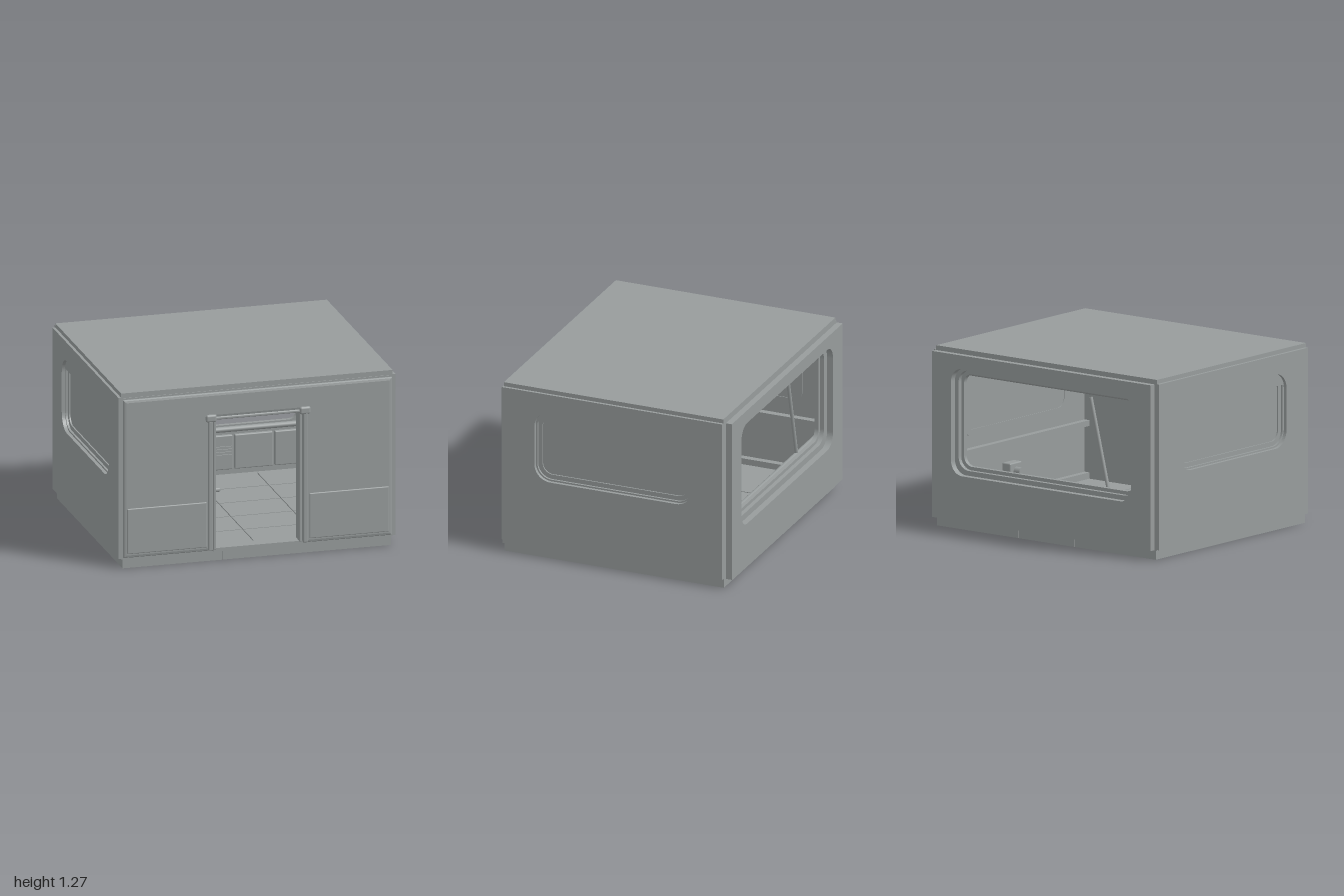
import * as THREE from 'three';
import { RoundedBoxGeometry } from 'three/addons/geometries/RoundedBoxGeometry.js';

const gray = new THREE.MeshStandardMaterial({ color: 0x979c9c });
gray.name = 'plain gray';

// Rounded rectangle between two corners, as a shape or a hole
function roundRect(u0, u1, v0, v1, r, P = THREE.Shape) {
  const s = new P(), q = Math.PI / 2;
  s.absarc(u1 - r, v0 + r, r, -q, 0);
  s.absarc(u1 - r, v1 - r, r, 0, q);
  s.absarc(u0 + r, v1 - r, r, q, 2 * q);
  s.absarc(u0 + r, v0 + r, r, 2 * q, 3 * q);
  s.closePath();
  return s;
}

function rect(u0, u1, v0, v1) {
  return new THREE.Shape([[u0, v0], [u1, v0], [u1, v1], [u0, v1]].map(p => new THREE.Vector2(...p)));
}

// Wall outline with a doorway cut up from its lower edge
function doorWall(w, y0, y1, door, top) {
  return new THREE.Shape([[-w, y0], [-door, y0], [-door, top], [door, top], [door, y0], [w, y0], [w, y1], [-w, y1]]
    .map(p => new THREE.Vector2(...p)));
}

export function createModel() {
  const model = new THREE.Group();
  const add = (name, geometry, parent = model) => {
    const m = new THREE.Mesh(geometry, gray);
    m.name = name;
    parent.add(m);
    return m;
  };
  const box = (name, x0, x1, y0, y1, z0, z1, parent = model) => {
    const m = add(name, new THREE.BoxGeometry(x1 - x0, y1 - y0, z1 - z0), parent);
    m.position.set((x0 + x1) / 2, (y0 + y1) / 2, (z0 + z1) / 2);
    return m;
  };
  const rounded = (name, x0, x1, y0, y1, z0, z1, r) => {
    const m = add(name, new RoundedBoxGeometry(x1 - x0, y1 - y0, z1 - z0, 2, r));
    m.position.set((x0 + x1) / 2, (y0 + y1) / 2, (z0 + z1) / 2);
    return m;
  };
  const rod = (name, a, b, r) => {
    const path = new THREE.LineCurve3(new THREE.Vector3(...a), new THREE.Vector3(...b));
    const d = path.getLength();
    const m = add(name, new THREE.CylinderGeometry(r, r, d, 12));
    m.position.copy(path.getPoint(0.5));
    m.quaternion.setFromUnitVectors(new THREE.Vector3(0, 1, 0), path.getTangent(0));
    return m;
  };
  // Flat extrusion facing z, from z0 to z1
  const slab = (name, shape, holes, z0, z1) => {
    shape.holes.push(...holes);
    const m = add(name, new THREE.ExtrudeGeometry(shape, { depth: z1 - z0, bevelEnabled: false, curveSegments: 8 }));
    m.position.z = z0;
    return m;
  };
  // Same, turned to face x; shape runs along -z
  const sideSlab = (name, shape, holes, x0, x1) => {
    const m = slab(name, shape, holes, 0, x1 - x0);
    m.rotation.y = Math.PI / 2;
    m.position.set(x0, 0, 0);
    return m;
  };
  // Same, lying flat; shape runs along -z
  const flatSlab = (name, shape, holes, y0, y1) => {
    const m = slab(name, shape, holes, 0, y1 - y0);
    m.rotation.x = -Math.PI / 2;
    m.position.set(0, y0, 0);
    return m;
  };

  // Floor base in three sections with a hatch in the middle one
  flatSlab('floorBaseMiddle', rect(-0.249, 0.249, -0.84, 0.82),
    [roundRect(-0.2, 0.2, -0.23, 0.23, 0.01, THREE.Path)], 0, 0.07);
  flatSlab('floorHatch', roundRect(-0.18, 0.18, -0.21, 0.21, 0.04), [], 0.004, 0.03);
  for (const s of [-1, 1]) {
    box('floorBaseSide', Math.min(s * 0.251, s * 0.97), Math.max(s * 0.251, s * 0.97), 0, 0.07, -0.82, 0.84);
  }
  box('floorDeck', -0.98, 0.98, 0.065, 0.08, -0.82, 0.84);

  // Floor plates with seams between them
  for (let i = 0; i < 4; i++) for (let j = 0; j < 5; j++) {
    const x = -0.9 + i * 0.45, z = -0.74 + j * 0.305;
    box('floorPlate', x + 0.005, x + 0.445, 0.08, 0.088, z + 0.005, z + 0.3);
  }

  // Roof and ceiling
  box('roof', -0.98, 0.98, 1.235, 1.275, -0.82, 0.84);
  for (let i = 0; i < 3; i++) for (let j = 0; j < 3; j++) {
    const x = -0.87 + i * 0.59, z = -0.7 + j * 0.49;
    box('ceilingPanel', x, x + 0.55, 1.215, 1.236, z, z + 0.45);
  }
  const vent = new THREE.Group();
  vent.name = 'ceilingVent';
  vent.position.set(0.3, 1.205, -0.2);
  for (const r of [0.03, 0.05, 0.07]) add('ventRing', new THREE.TorusGeometry(r, 0.006, 6, 24), vent).rotation.x = Math.PI / 2;
  model.add(vent);

  // Side walls with recessed windows
  for (const s of [-1, 1]) {
    const span = (a, b) => [Math.min(s * a, s * b), Math.max(s * a, s * b)];
    const hole = (d) => [roundRect(-0.6 + d, 0.59 - d, 0.585 + d, 1.11 - d, 0.12 - d, THREE.Path)];
    sideSlab('sidePanel', rect(-0.84, 0.82, 0.07, 1.245), hole(0), ...span(0.975, 1));
    sideSlab('sideInnerWall', rect(-0.84, 0.82, 0.07, 1.24), hole(0.012), ...span(0.945, 0.975));
    sideSlab('sideWindowFrame', roundRect(-0.6, 0.59, 0.585, 1.11, 0.12), hole(0.045), ...span(0.935, 0.96));
    sideSlab('sideWindowPane', roundRect(-0.58, 0.57, 0.6, 1.1, 0.1), [], ...span(0.94, 0.95));
    // Shade housing across the top of the window
    const shade = new THREE.Shape();
    shade.moveTo(-0.6, 1.02);
    shade.lineTo(0.59, 1.02);
    shade.absarc(0.47, 0.99, 0.12, 0.25, Math.PI / 2, false);
    shade.absarc(-0.48, 0.99, 0.12, Math.PI / 2, Math.PI - 0.25, false);
    sideSlab('sideWindowShade', shade, [], ...span(0.95, 0.978));
    // Inner rails along the wall
    box('sideRail', ...span(0.9, 0.945), 0.46, 0.5, -0.78, 0.8);
    box('sideRail', ...span(0.9, 0.945), 1.15, 1.2, -0.78, 0.8);
    box('sideSkirting', ...span(0.9, 0.945), 0.08, 0.13, -0.78, 0.8);
  }

  // Front wall with soft outer edges
  const front = add('frontPanel', new THREE.ExtrudeGeometry(doorWall(0.97, 0.08, 1.23, 0.33, 1.05), {
    depth: 0.006, bevelThickness: 0.013, bevelSize: 0.02, bevelOffset: -0.02, bevelSegments: 2,
  }));
  front.position.z = 0.851;
  slab('frontInnerWall', doorWall(0.975, 0.075, 1.24, 0.32, 1.04), [], 0.79, 0.845);
  rounded('doorHeader', -0.34, 0.34, 1.033, 1.055, 0.79, 0.873, 0.008);
  box('doorSill', -0.32, 0.32, 0.07, 0.095, 0.77, 0.86);
  for (const s of [-1, 1]) {
    const span = (a, b) => [Math.min(s * a, s * b), Math.max(s * a, s * b)];
    rounded('doorPost', ...span(0.325, 0.36), 0.085, 1.03, 0.83, 0.882, 0.008);
    rounded('doorJamb', ...span(0.3, 0.32), 0.085, 1.035, 0.77, 0.865, 0.006);
    rounded('doorCap', ...span(0.3, 0.378), 1.02, 1.075, 0.84, 0.886, 0.015);
    rounded('frontLowerPanel', ...span(0.37, 0.945), 0.11, 0.44, 0.86, 0.876, 0.007);
  }
  rounded('doorHandle', -0.32, -0.24, 0.47, 0.5, 0.74, 0.77, 0.012);

  // Back panel, set slightly apart, with a wide window opening
  slab('backPanel', rect(-0.97, 0.97, 0.07, 1.245),
    [roundRect(-0.8, 0.8, 0.39, 1.15, 0.1, THREE.Path)], -0.88, -0.835);
  slab('backInnerWall', rect(-0.975, 0.975, 0.075, 1.24),
    [roundRect(-0.78, 0.78, 0.42, 1.13, 0.09, THREE.Path)], -0.82, -0.78);
  slab('backWindowFrame', roundRect(-0.81, 0.81, 0.38, 1.16, 0.11),
    [roundRect(-0.755, 0.755, 0.445, 1.1, 0.07, THREE.Path)], -0.79, -0.76);
  rod('blindRoller', [-0.77, 1.1, -0.73], [0.77, 1.1, -0.73], 0.025);
  rod('windowRail', [-0.9, 0.42, -0.74], [0.9, 0.42, -0.74], 0.02);
  rod('windowStrut', [-0.33, 1.06, -0.74], [-0.49, 0.41, -0.74], 0.013);

  // Lockers under the back window
  for (let i = 0; i < 6; i++) {
    const x = -0.725 + i * 0.29;
    rounded('backLocker', x - 0.138, x + 0.138, 0.12, 0.37, -0.79, -0.755, 0.008);
    if (i === 2 || i === 3) for (let k = 0; k < 4; k++) {
      const c = x * 1.24, y = 0.222 + k * 0.02;
      box('lockerLouvre', c - 0.11, c + 0.095, y, y + 0.01, -0.756, -0.745);
    }
  }

  // Small control box with a knob on the inner side wall
  rounded('controlBox', 0.87, 0.945, 0.22, 0.34, -0.13, 0, 0.01);
  rod('controlKnob', [0.82, 0.28, -0.065], [0.88, 0.28, -0.065], 0.03);

  return model;
}
